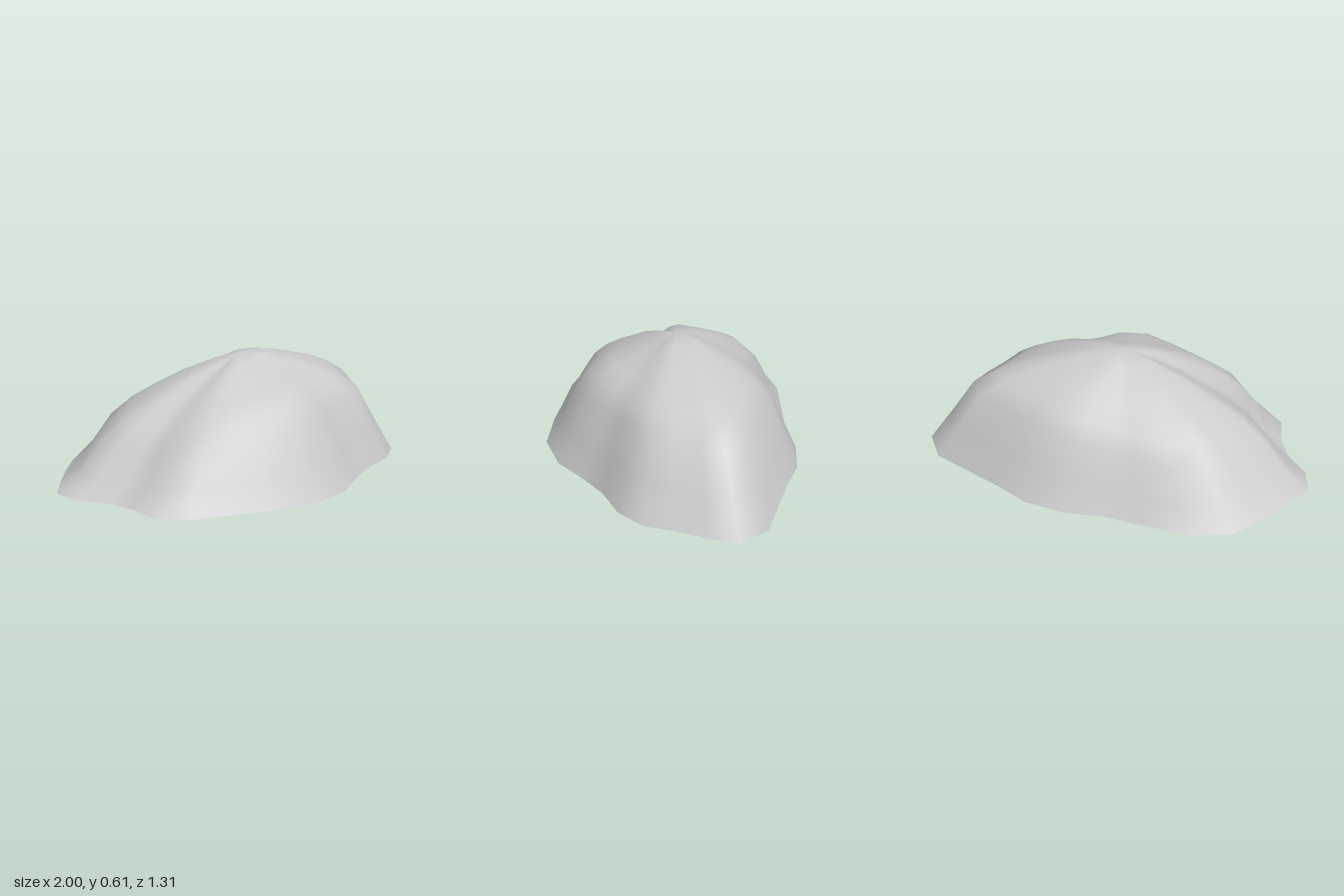
import * as THREE from 'three';

// Footprint corners, counter-clockwise from above: x, z, steepness (0 gentle, 1 steep cliff), shelf strength
const OUTLINE = [
  [1.0, -0.2, 1, 0], [0.91, -0.35, 1, 0], [0.52, -0.52, 0.95, 0], [0.37, -0.6, 0.88, 0],
  [0.16, -0.635, 0.72, 0], [-0.04, -0.62, 0.5, 0], [-0.25, -0.64, 0.35, 0], [-0.48, -0.66, 0.25, 0],
  [-0.69, -0.6, 0.2, 0], [-0.81, -0.46, 0.12, 0], [-0.9, -0.34, 0.06, 0], [-1.0, -0.19, 0, 0],
  [-0.97, -0.05, -0.1, 0], [-0.86, 0.08, -0.22, 0], [-0.81, 0.2, -0.15, 0], [-0.79, 0.35, 0.05, 0],
  [-0.66, 0.48, 0.25, 0], [-0.46, 0.54, 0.42, 0.2], [-0.27, 0.6, 0.55, 0.5], [-0.04, 0.65, 0.7, 1],
  [0.18, 0.6, 0.77, 1], [0.34, 0.49, 0.77, 0.5], [0.49, 0.4, 0.85, 0], [0.67, 0.34, 0.95, 0],
  [0.8, 0.23, 1, 0], [0.86, 0.09, 1, 0], [0.94, -0.06, 1, 0],
];
// Rings from ground to summit: scale, height on gentle side, height on steep side, shelf offset
const RINGS = [
  [1, 0, 0, 0], [0.88, 0.09, 0.18, -0.025], [0.76, 0.235, 0.367, -0.01], [0.64, 0.33, 0.44, 0.015],
  [0.5, 0.41, 0.5, 0.01], [0.33, 0.495, 0.555, -0.025], [0.16, 0.56, 0.597, -0.01],
];
const SUMMIT = [-0.02, 0.605, -0.03];

export function createModel() {
  const group = new THREE.Group();
  group.name = 'rock';
  const stone = new THREE.MeshStandardMaterial({ color: 0xcccccc });
  stone.name = 'stone grey';

  // Dome: footprint shrunk towards the summit ring by ring
  const n = OUTLINE.length;
  const positions = [];
  const index = [];
  for (const [s, gentle, steep, offset] of RINGS) {
    for (const [x, z, w, shelf] of OUTLINE) {
      positions.push(
        SUMMIT[0] + (x - SUMMIT[0]) * s,
        gentle + (steep - gentle) * w + offset * shelf,
        SUMMIT[2] + (z - SUMMIT[2]) * s,
      );
    }
  }
  positions.push(...SUMMIT);
  const top = RINGS.length * n;
  for (let r = 0; r < RINGS.length; r++) {
    for (let i = 0; i < n; i++) {
      const j = (i + 1) % n;
      const a = r * n + i;
      const b = r * n + j;
      if (r === RINGS.length - 1) index.push(a, b, top);
      else index.push(a, b, b + n, a, b + n, a + n);
    }
  }
  const domeGeometry = new THREE.BufferGeometry();
  domeGeometry.setAttribute('position', new THREE.Float32BufferAttribute(positions, 3));
  domeGeometry.setIndex(index);
  domeGeometry.computeVertexNormals();
  const dome = new THREE.Mesh(domeGeometry, stone);
  dome.name = 'rockDome';
  group.add(dome);

  // Flat underside facing down
  const baseShape = new THREE.Shape(OUTLINE.map(([x, z]) => new THREE.Vector2(x, z)));
  const base = new THREE.Mesh(new THREE.ShapeGeometry(baseShape).rotateX(Math.PI / 2), stone);
  base.name = 'rockBase';
  group.add(base);

  return group;
}
